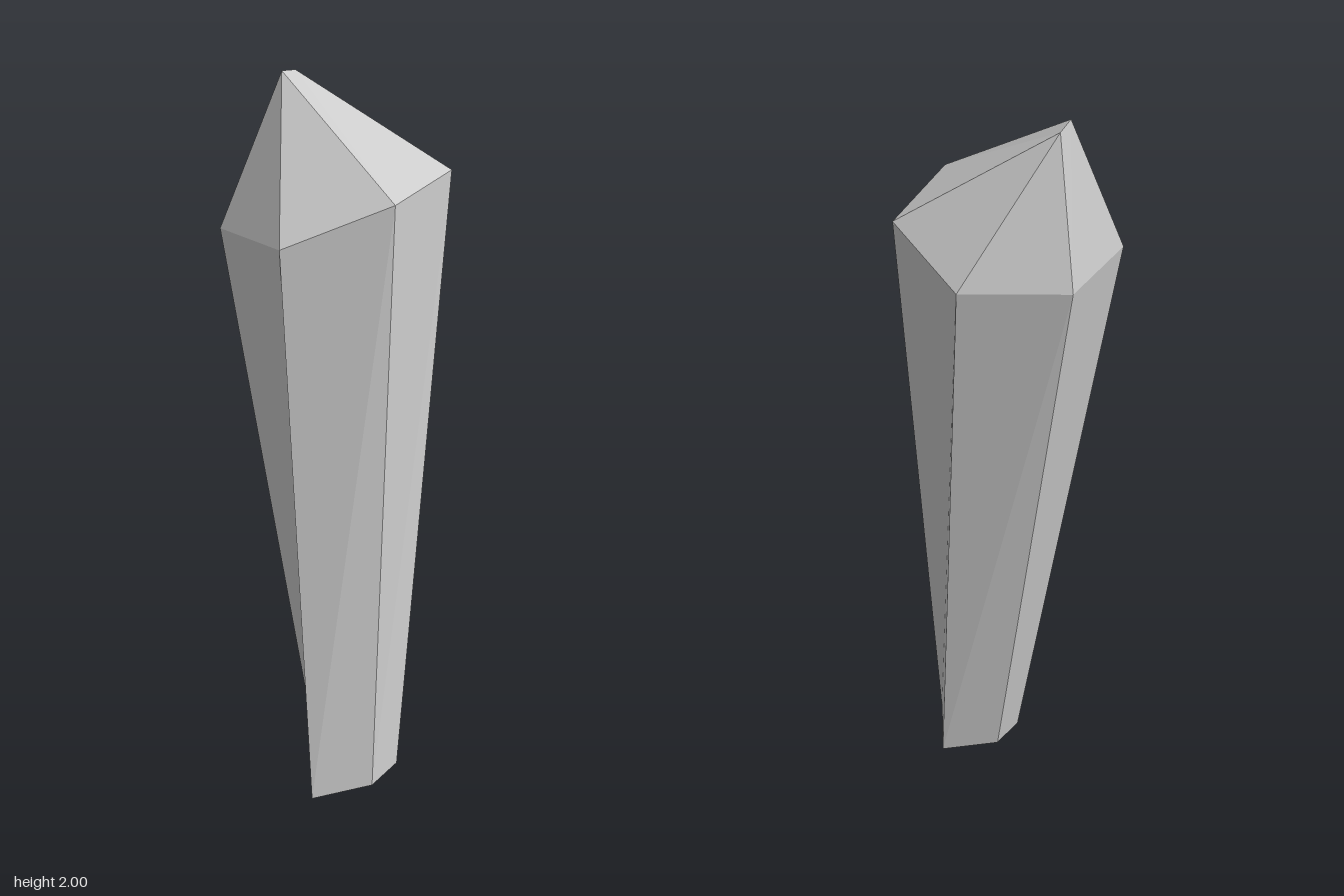
import * as THREE from 'three';

// Non-indexed geometry from a list of triangles, each three [x, y, z] corners
function facets(triangles) {
  const geometry = new THREE.BufferGeometry();
  geometry.setAttribute('position', new THREE.Float32BufferAttribute(triangles.flat(2), 3));
  geometry.computeVertexNormals();
  return geometry;
}

export function createModel() {
  const group = new THREE.Group();
  group.name = 'crystal';
  const material = new THREE.MeshStandardMaterial({ color: 0xcccccc, flatShading: true });

  // Six-sided cross-sections, counterclockwise seen from above
  const base = [
    [0.166, 0.025, 0.282], [0.267, 0.046, 0.14], [0.26, 0.044, 0.028],
    [0.157, 0.021, -0.095], [0.057, 0, 0.044], [0.06, 0.002, 0.15],
  ];
  const shoulder = [
    [0.013, 1.70, 0.206], [0.19, 1.805, 0.018], [0.116, 1.77, -0.262],
    [-0.084, 1.655, -0.285], [-0.27, 1.637, -0.098], [-0.23, 1.652, 0.168],
  ];
  // The tip is a short ridge
  const tipFront = [-0.191, 2, -0.009];
  const tipBack = [-0.199, 1.986, -0.06];
  const tips = [tipFront, tipBack, tipBack, tipBack, tipFront, tipFront];

  const shaft = [], point = [], bottom = [];
  for (let i = 0; i < 6; i++) {
    const j = (i + 1) % 6;
    shaft.push([base[i], base[j], shoulder[j]], [base[i], shoulder[j], shoulder[i]]);
    point.push([shoulder[i], shoulder[j], tips[i]]);
    if (i > 0 && i < 5) bottom.push([base[0], base[j], base[i]]);
  }
  // Close the facets on either side of the ridge
  point.push([shoulder[1], tipBack, tipFront], [shoulder[4], tipFront, tipBack]);

  const parts = { shaft, point, bottom };
  for (const [name, triangles] of Object.entries(parts)) {
    const mesh = new THREE.Mesh(facets(triangles), material);
    mesh.name = name;
    group.add(mesh);
  }
  return group;
}
